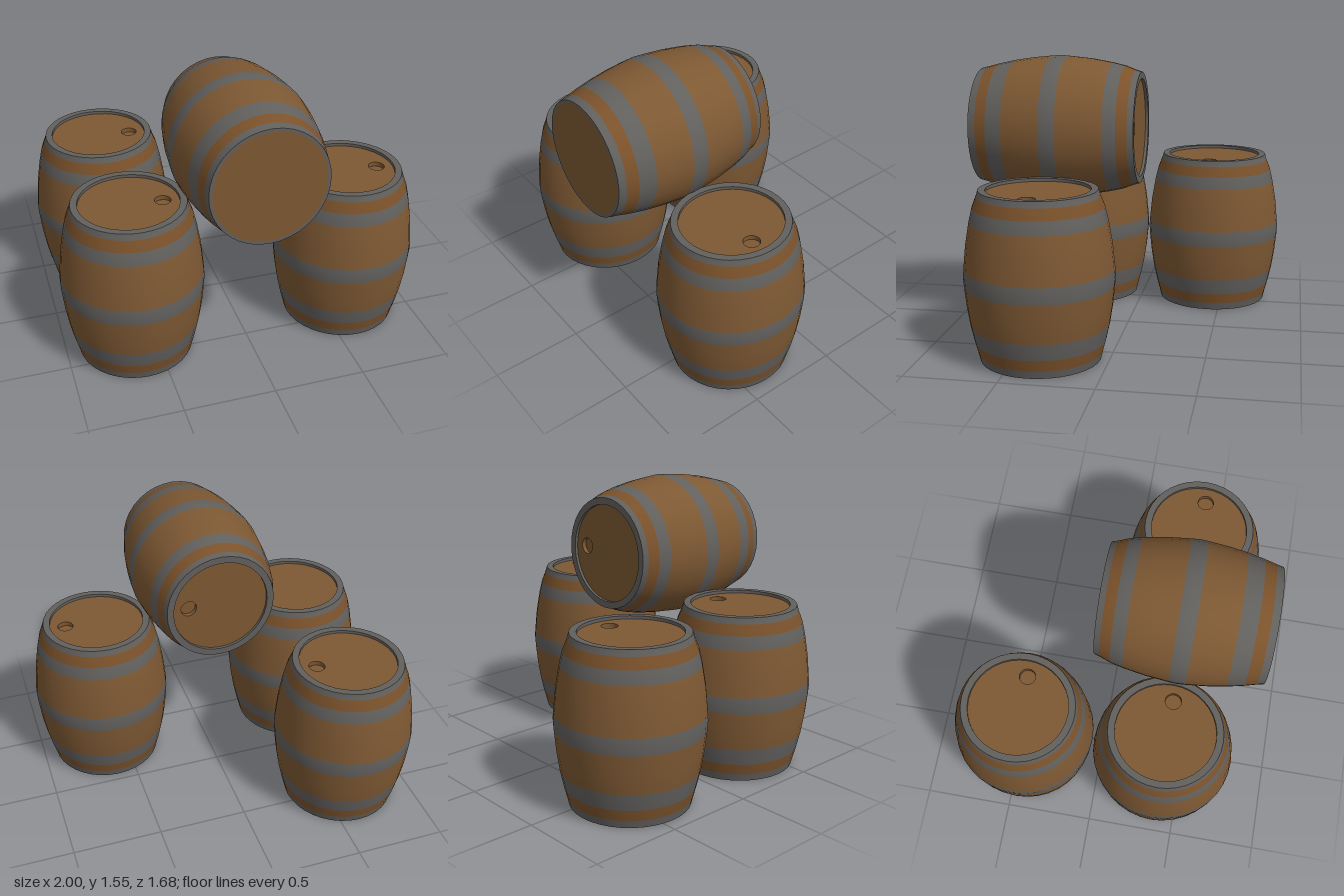
import * as THREE from 'three';

const wood = new THREE.MeshStandardMaterial({ color: 0x7d5833 });
wood.name = 'wood';
const endWood = new THREE.MeshStandardMaterial({ color: 0x7b522b });
endWood.name = 'end wood';
const iron = new THREE.MeshStandardMaterial({ color: 0x62605d });
iron.name = 'iron';

const SEGMENTS = 36;
const HEIGHT = 0.915;
const LID_Y = 0.898;
const LID_R = 0.275;

// Bulging side, bottom to top: [radius, height, material index of the band above]
const PROFILE = [
  [0.323, 0, 2], [0.333, 0.042, 1], [0.35, 0.105, 2], [0.37, 0.197, 0],
  [0.386, 0.3, 0], [0.397, 0.41, 2], [0.4, 0.457, 2], [0.397, 0.5, 0],
  [0.384, 0.63, 0], [0.363, 0.752, 2], [0.346, 0.823, 1], [0.323, 0.882, 2],
  [0.313, HEIGHT, 2],
];

function lathe(points) {
  return new THREE.LatheGeometry(points.map(([r, y]) => new THREE.Vector2(r, y)), SEGMENTS);
}

// One smooth surface whose faces are sorted into a group per material
function sideGeometry() {
  const geometry = lathe(PROFILE);
  const source = geometry.index.array;
  const lists = [[], [], []];
  for (let i = 0; i < source.length; i += 6) {
    const band = (i / 6) % (PROFILE.length - 1);
    lists[PROFILE[band][2]].push(...source.slice(i, i + 6));
  }
  geometry.setIndex(lists.flat());
  let start = 0;
  lists.forEach((list, m) => {
    geometry.addGroup(start, list.length, m);
    start += list.length;
  });
  return geometry;
}

// Round lid with a bung hole
function lidGeometry(x, z, r) {
  const shape = new THREE.Shape().absarc(0, 0, LID_R, 0, Math.PI * 2, false);
  shape.holes.push(new THREE.Path().absarc(x, -z, r, 0, Math.PI * 2, true));
  return new THREE.ShapeGeometry(shape, SEGMENTS / 2).rotateX(-Math.PI / 2);
}

function createBarrel(name) {
  const barrel = new THREE.Group();
  barrel.name = name;
  const add = (part, geometry, material, x = 0, y = 0, z = 0) => {
    const mesh = new THREE.Mesh(geometry, material);
    mesh.name = part;
    mesh.position.set(x, y, z);
    barrel.add(mesh);
  };

  add('stavesAndHoops', sideGeometry(), [wood, endWood, iron]);

  // Bottom end
  add('bottomRim', lathe([[0.306, 0], [0.323, 0]]), iron);
  add('bottom', new THREE.CircleGeometry(0.306, SEGMENTS).rotateX(Math.PI / 2), wood);

  // Top end, slightly sunk inside its rim
  add('topRim', lathe([[0.313, HEIGHT], [LID_R, HEIGHT]]), iron);
  add('rimInside', lathe([[LID_R, HEIGHT], [LID_R, LID_Y]]), iron);
  const hole = { x: 0.183, z: 0.015, r: 0.045, depth: 0.025 };
  add('lid', lidGeometry(hole.x, hole.z, hole.r), wood, 0, LID_Y);
  add('bungHoleWall', lathe([[hole.r, 0], [hole.r, -hole.depth]]), wood, hole.x, LID_Y, hole.z);
  add('bung', new THREE.CircleGeometry(hole.r, 18).rotateX(-Math.PI / 2), wood,
    hole.x, LID_Y - hole.depth, hole.z);

  barrel.scale.x = 0.975;
  return barrel;
}

export function createModel() {
  const model = new THREE.Group();
  model.name = 'barrelStack';

  // Three standing barrels
  [['frontLeftBarrel', 0.61, 0.37], ['frontRightBarrel', -0.61, 0.37], ['backRightBarrel', -0.61, -0.44]]
    .forEach(([name, x, z]) => {
      const barrel = createBarrel(name);
      barrel.position.set(x, 0, z);
      model.add(barrel);
    });

  // Barrel lying across the front pair, lid to the back
  const lying = createBarrel('lyingBarrel');
  lying.rotation.x = -Math.PI / 2;
  lying.position.set(0, 1.153, 0.84);
  model.add(lying);

  return model;
}
